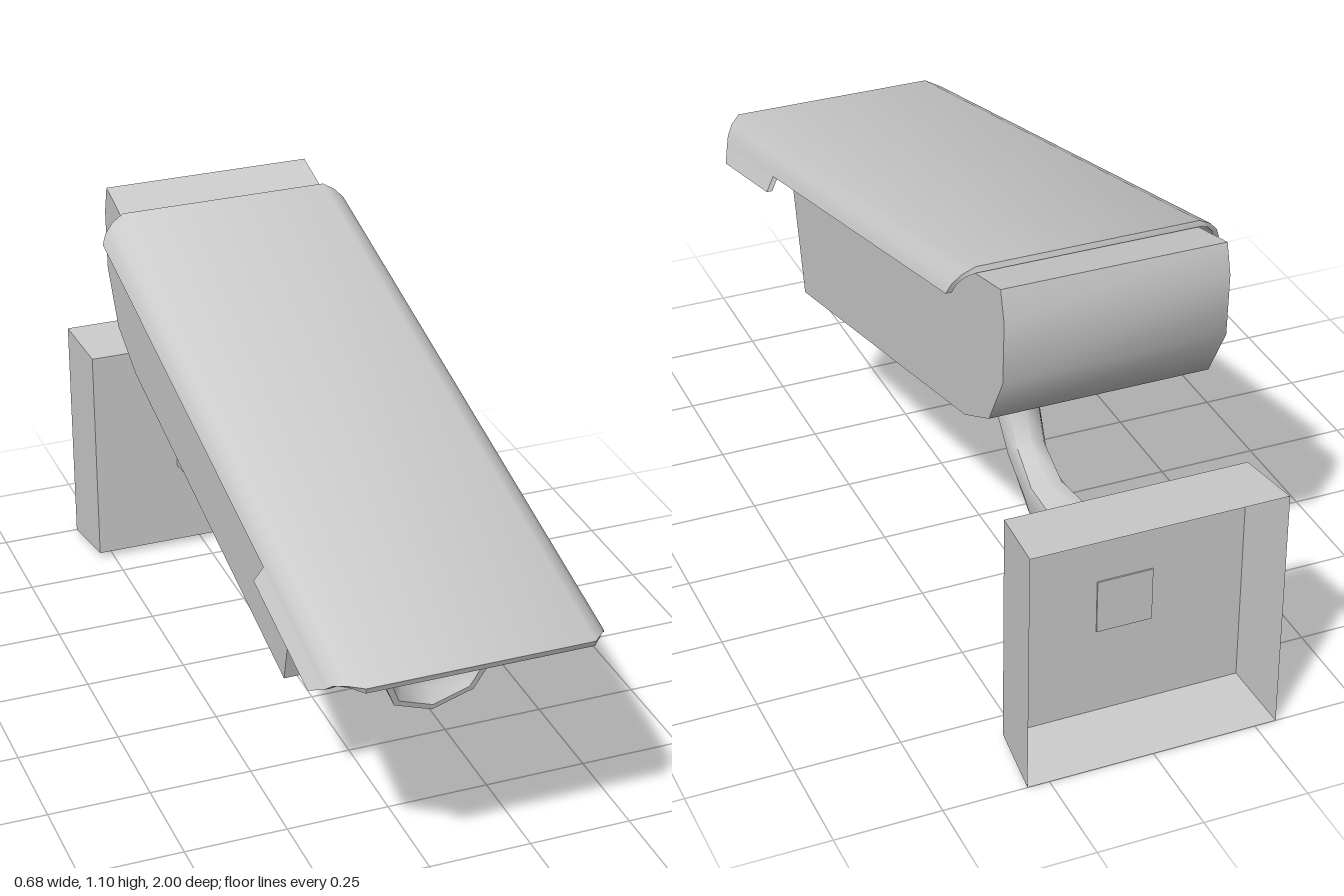
import * as THREE from 'three';
import { toCreasedNormals } from 'three/addons/utils/BufferGeometryUtils.js';

const TILT = 0.2417;

function part(name, geometry, side = THREE.FrontSide) {
  const material = new THREE.MeshStandardMaterial({ color: 0xcccccc, side });
  const mesh = new THREE.Mesh(toCreasedNormals(geometry, 0.85), material);
  mesh.name = name;
  return mesh;
}

// Skin a list of rings, each running counterclockwise about the travel direction
function loft(rings, capStart = true, capEnd = true) {
  const n = rings[0].length, last = (rings.length - 1) * n, index = [];
  for (let i = 0; i < rings.length - 1; i++) {
    for (let j = 0; j < n; j++) {
      const a = i * n + j, b = i * n + (j + 1) % n;
      index.push(a, b, a + n, b, b + n, a + n);
    }
  }
  for (let j = 1; j < n - 1; j++) {
    if (capStart) index.push(0, j + 1, j);
    if (capEnd) index.push(last, last + j, last + j + 1);
  }
  const geometry = new THREE.BufferGeometry();
  geometry.setAttribute('position', new THREE.Float32BufferAttribute(rings.flat(2), 3));
  geometry.setIndex(index);
  geometry.computeVertexNormals();
  return geometry;
}

// Housing: side profile extruded across the width
function housing() {
  const profile = [[0.395, 0.53], [0.395, 0.891], [-0.982, 0.891], [-0.984, 0.818],
    [-0.943, 0.674], [-0.839, 0.565], [-0.692, 0.53]];
  const shape = new THREE.Shape(profile.map(([u, v]) => new THREE.Vector2(u, v)));
  const geometry = new THREE.ExtrudeGeometry(shape, { depth: 0.52, bevelEnabled: false });
  return part('housing', geometry.translate(0, 0, -0.26).rotateY(-Math.PI / 2));
}

// Sunshade column: x, height, front end, back end, sideways share of the thickness
function shadeRing([x, y, front, back, k], sign = 1) {
  const t = 0.014, xi = sign * (x - t * k), yi = y - t * (1 - k);
  return [[sign * x, y, front], [xi, yi, front], [xi, yi, back], [sign * x, y, back]];
}

function sunshade() {
  const group = new THREE.Group();
  group.name = 'sunshade';
  const columns = [[0.26, 0.908, 0.806, -0.851, 0], [0.29, 0.893, 0.775, -0.84, 0.5],
    [0.31, 0.873, 0.75, -0.827, 0.8], [0.32, 0.851, 0.735, -0.814, 1]];
  const left = columns.map(c => shadeRing(c));
  const right = columns.map(c => shadeRing(c, -1)).reverse();
  group.add(part('shadeTop', loft([...right, ...left])));

  // Deeper flaps near the front
  const flap = [[0.32, 0.851, 0.735, 0.355, 1], [0.34, 0.815, 0.696, 0.355, 1]];
  group.add(part('leftFlap', loft(flap.map(c => shadeRing(c)))));
  group.add(part('rightFlap', loft(flap.map(c => shadeRing(c, -1)).reverse())));
  return group;
}

// Lens barrel with a hollow front
function lens() {
  const profile = [[0.133, 0.39], [0.133, 0.62], [0.118, 0.62], [0.095, 0.59], [0.05, 0.57], [0, 0.565]];
  const geometry = new THREE.LatheGeometry(profile.map(([r, z]) => new THREE.Vector2(r, z)), 8);
  geometry.rotateX(Math.PI / 2).translate(0, 0.718, 0);
  return part('lensBarrel', geometry, THREE.DoubleSide);
}

// Bent arm: outer and inner bend points (z, y) and corner squareness per ring
function arm() {
  const stations = [
    [-0.834, 0.236, -0.834, 0.37, 1.41],
    [-0.394, 0.255, -0.405, 0.351, 1.12],
    [-0.26, 0.33, -0.32, 0.405, 1],
    [-0.19, 0.426, -0.28, 0.485, 1],
    [-0.196, 0.545, -0.287, 0.567, 1],
  ];
  const rings = stations.map(([zo, yo, zi, yi, square]) => {
    const r = Math.hypot(zi - zo, yi - yo) / 2;
    return Array.from({ length: 8 }, (_, j) => {
      const a = j * Math.PI / 4, k = j % 2 ? square : 1;
      const c = Math.cos(a) * k, s = Math.sin(a) * k / 2;
      return [r * c, (yo + yi) / 2 + (yi - yo) * s, (zo + zi) / 2 + (zi - zo) * s];
    });
  });
  return part('arm', loft(rings));
}

// Wall plate: thin shell, open at the back
function wallPlate() {
  const ring = (x, y0, y1, z) => [[-x, y0, z], [x, y0, z], [x, y1, z], [-x, y1, z]];
  const rings = [ring(0.302, 0, 0.605, -1), ring(0.288, 0.016, 0.592, -0.83)];
  return part('wallPlate', loft(rings, false, true), THREE.DoubleSide);
}

export function createModel() {
  const model = new THREE.Group();
  model.name = 'securityCamera';

  // Everything that leans with the camera head
  const head = new THREE.Group();
  head.name = 'cameraHead';
  head.rotation.x = TILT;
  const socket = part('swivelSocket', new THREE.CylinderGeometry(0.082, 0.066, 0.042, 8));
  socket.position.set(0, 0.502, -0.368);
  const collar = part('swivelCollar', new THREE.CylinderGeometry(0.076, 0.082, 0.015, 8));
  collar.position.set(0, 0.53, -0.368);
  head.add(housing(), sunshade(), lens(), socket, collar);

  model.add(head, arm(), wallPlate());
  return model;
}
